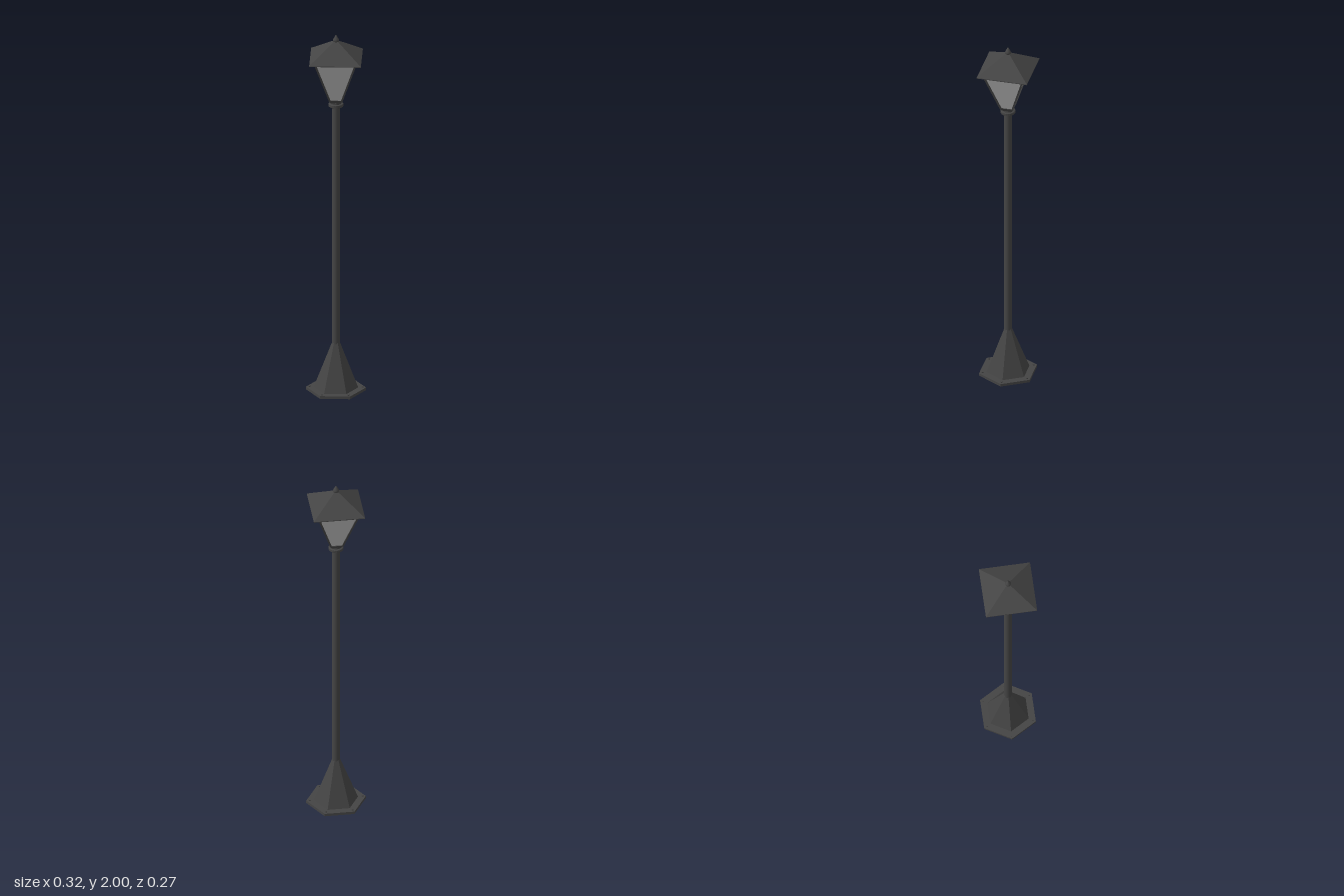
import * as THREE from 'three';

const iron = new THREE.MeshStandardMaterial({ color: 0x444444 });
const ironFlat = new THREE.MeshStandardMaterial({ color: 0x444444, flatShading: true });
const glass = new THREE.MeshStandardMaterial({ color: 0xb4b4b4, flatShading: true });

export function createModel() {
  const model = new THREE.Group();

  function add(name, geometry, material, parent = model) {
    const mesh = new THREE.Mesh(geometry, material);
    mesh.name = name;
    parent.add(mesh);
    return mesh;
  }
  // Frustum between two heights; turn rotates its corners about y
  function frustum(name, rTop, rBottom, y0, y1, sides, turn = 0, parent = model, material) {
    const g = new THREE.CylinderGeometry(rTop, rBottom, y1 - y0, sides);
    g.rotateY(turn).translate(0, (y0 + y1) / 2, 0);
    return add(name, g, material ?? (sides > 8 ? iron : ironFlat), parent);
  }
  // Square bar between two points
  function bar(name, a, b, width, parent) {
    const dir = b.clone().sub(a);
    const mesh = add(name, new THREE.BoxGeometry(width, dir.length(), width), ironFlat, parent);
    mesh.position.copy(a).add(b).multiplyScalar(0.5);
    mesh.quaternion.setFromUnitVectors(new THREE.Vector3(0, 1, 0), dir.normalize());
    return mesh;
  }

  // Hexagonal foot with bolts, corners on the x axis
  const HEX = Math.PI / 2;
  frustum('basePlate', 0.158, 0.158, 0, 0.015, 6, HEX);
  frustum('basePedestal', 0.02, 0.117, 0.015, 0.27, 6, HEX);
  const bolts = new THREE.Group();
  bolts.name = 'baseBolts';
  model.add(bolts);
  for (let i = 0; i < 6; i++) {
    const a = (i * Math.PI) / 3;
    frustum('bolt', 0.005, 0.005, 0.015, 0.021, 12, 0, bolts)
      .position.set(0.14 * Math.cos(a), 0, 0.14 * Math.sin(a));
  }

  // Post and collar
  frustum('post', 0.02, 0.02, 0.2, 1.61, 24);
  const collar = [[0, 1.597], [0.036, 1.597], [0.039, 1.6], [0.039, 1.612], [0.036, 1.615],
    [0.029, 1.615], [0.029, 1.625], [0, 1.625]].map(([r, y]) => new THREE.Vector2(r, y));
  add('collar', new THREE.LatheGeometry(collar, 24), ironFlat);

  // Lantern: tray, tapered glass, corner bars and rails
  const lantern = new THREE.Group();
  lantern.name = 'lantern';
  model.add(lantern);
  const SQ = Math.PI / 4, D = Math.SQRT2;
  frustum('lanternTray', 0.036 * D, 0.027 * D, 1.622, 1.64, 4, SQ, lantern);
  frustum('lanternGlass', 0.106 * D, 0.03 * D, 1.638, 1.872, 4, SQ, lantern, glass);
  const corner = (r, y, i) => new THREE.Vector3(
    r * D * Math.cos(SQ + i * HEX), y, r * D * Math.sin(SQ + i * HEX));
  for (let i = 0; i < 4; i++) {
    bar('cornerBar', corner(0.031, 1.636, i), corner(0.106, 1.868, i), 0.009, lantern);
    bar('topRail', corner(0.105, 1.868, i), corner(0.105, 1.868, i + 1), 0.008, lantern);
  }

  // Pyramid roof with a thin eave
  frustum('roofEave', 0.136 * D, 0.136 * D, 1.868, 1.872, 4, SQ, lantern);
  frustum('roof', 0.008 * D, 0.136 * D, 1.872, 1.966, 4, SQ, lantern);

  // Finial: bulb drawn up to a point
  const finial = [[0, 1.955], [0.01, 1.957], [0.015, 1.964], [0.016, 1.971], [0.013, 1.979],
    [0.008, 1.987], [0.003, 1.997], [0, 2]].map(([r, y]) => new THREE.Vector2(r, y));
  add('finial', new THREE.LatheGeometry(finial, 20), iron);

  return model;
}
